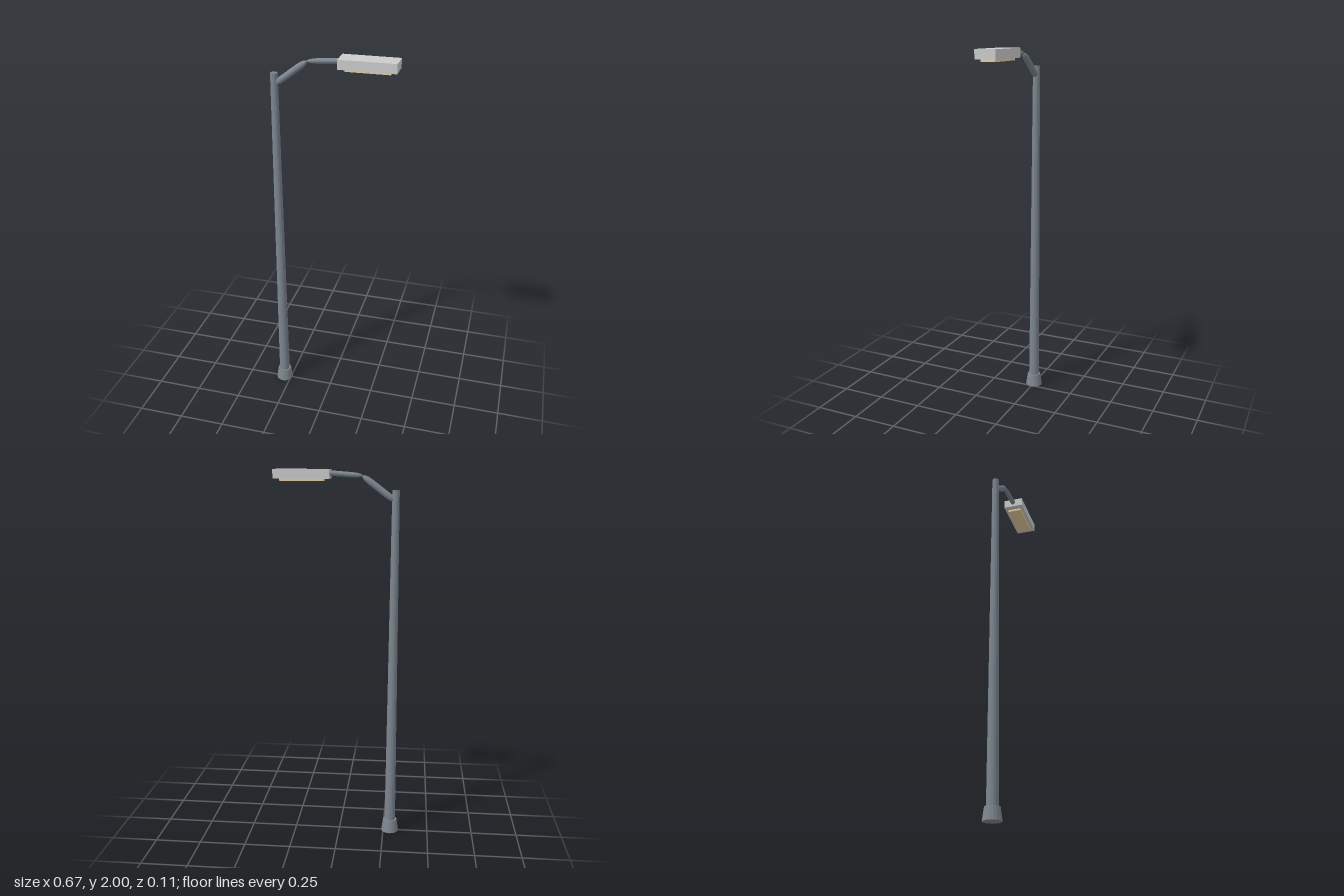
import * as THREE from 'three';

const steel = new THREE.MeshStandardMaterial({ color: 0x7c858e, flatShading: true });
const housing = new THREE.MeshStandardMaterial({ color: 0xcccccc, flatShading: true });
const glass = new THREE.MeshStandardMaterial({ color: 0xe6cfa0, flatShading: true });

const POLE_X = -0.288;
const SIDES = 16;

export function createModel() {
  const group = new THREE.Group();

  function add(name, geometry, material, x, y, z = 0) {
    const mesh = new THREE.Mesh(geometry, material);
    mesh.name = name;
    mesh.position.set(x, y, z);
    group.add(mesh);
    return mesh;
  }

  // Round bar between two points, with long rounded ends
  function addArm(name, from, to, radius) {
    const axis = to.clone().sub(from);
    const length = axis.length();
    const end = length / 4;
    const rings = 4;
    const half = [];
    for (let i = 0; i <= rings; i++) {
      const a = (i / rings) * Math.PI / 2;
      half.push(new THREE.Vector2(radius * Math.sin(a), end * (1 - Math.cos(a))));
    }
    const mirrored = half.map((p) => new THREE.Vector2(p.x, length - p.y)).reverse();
    const arm = add(name, new THREE.LatheGeometry([...half, ...mirrored], SIDES), steel, from.x, from.y);
    arm.quaternion.setFromUnitVectors(new THREE.Vector3(0, 1, 0), axis.normalize());
  }

  // Base and tapered pole
  add('base', new THREE.CylinderGeometry(0.038, 0.048, 0.068, SIDES), steel, POLE_X, 0.034);
  add('pole', new THREE.CylinderGeometry(0.019, 0.03, 1.897, SIDES), steel, POLE_X, 1.897 / 2);

  // Bent arm in two pieces
  const elbow = new THREE.Vector3(-0.117, 1.967, 0);
  addArm('lowerArm', new THREE.Vector3(-0.288, 1.838, 0), elbow, 0.017);
  addArm('upperArm', elbow.clone().add(new THREE.Vector3(-0.002, 0, 0)), new THREE.Vector3(0.12, 1.985, 0), 0.0135);

  // Lamp head with a lens below
  add('lampHousing', new THREE.BoxGeometry(0.289, 0.048, 0.11), housing, 0.1915, 1.976);
  add('lens', new THREE.BoxGeometry(0.225, 0.02, 0.076), glass, 0.1915, 1.95);

  return group;
}
